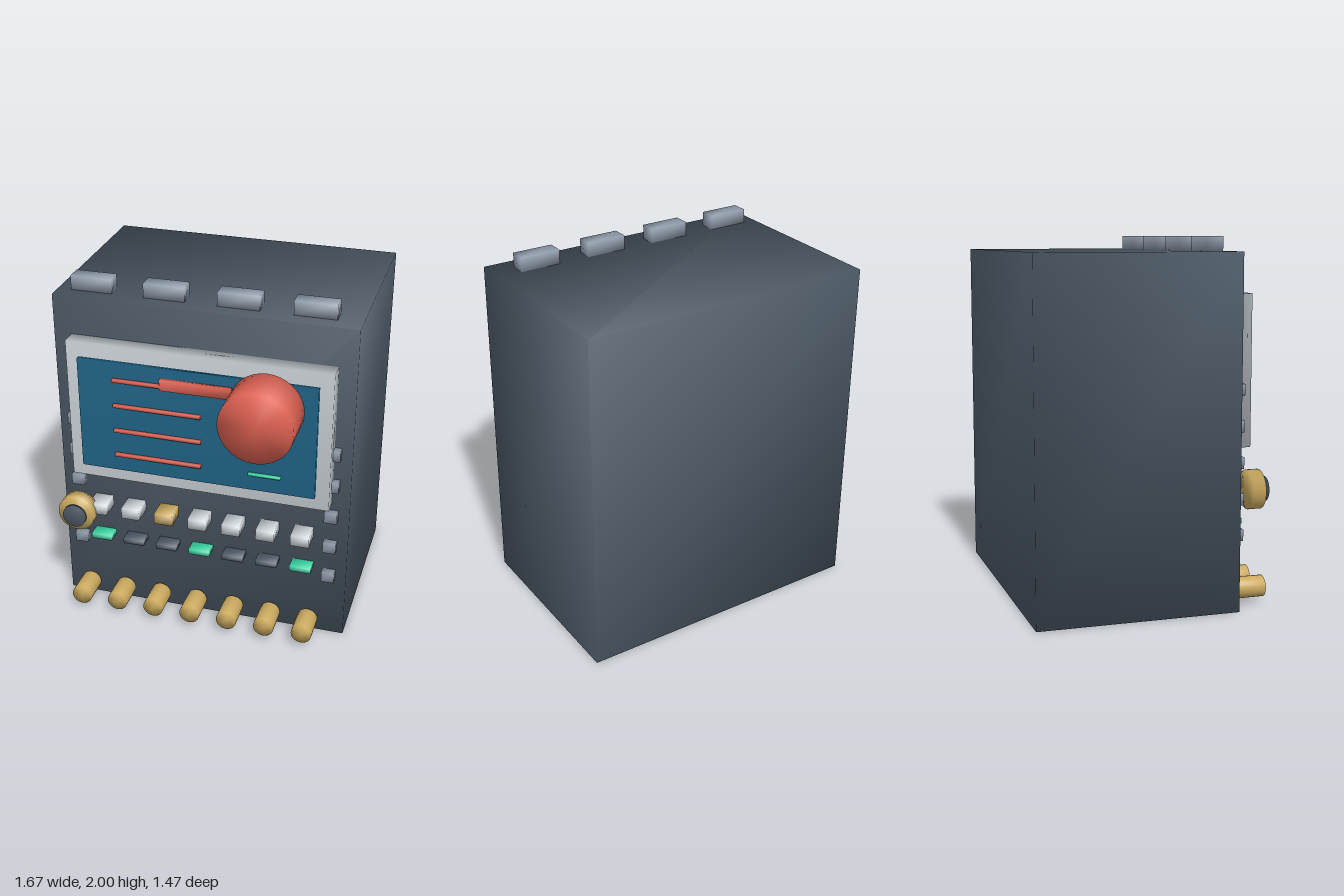
import * as THREE from 'three';
import { mergeVertices } from 'three/addons/utils/BufferGeometryUtils.js';

const paint = (name, color) => {
  const m = new THREE.MeshStandardMaterial({ color });
  m.name = name;
  return m;
};

// Weld the corners so that shading runs smoothly across every edge.
function weld(geometry) {
  geometry.deleteAttribute('normal');
  geometry.deleteAttribute('uv');
  const g = mergeVertices(geometry);
  g.computeVertexNormals();
  return g;
}

export function createModel() {
  const slate = paint('slate', 0x4d5a67);
  const silver = paint('silver', 0xc9d0d5);
  const steel = paint('steel', 0x8f9bab);
  const blue = paint('screen blue', 0x1f6386);
  const red = paint('coral red', 0xdc6152);
  const gold = paint('gold', 0xcbaa60);
  const green = paint('green', 0x38cf9f);
  const amber = paint('amber', 0xd9a441);

  const model = new THREE.Group();
  model.name = 'console';

  // Box given by its limits on each axis.
  function box(name, mat, [x0, x1], [y0, y1], [z0, z1]) {
    const mesh = new THREE.Mesh(weld(new THREE.BoxGeometry(x1 - x0, y1 - y0, z1 - z0)), mat);
    mesh.position.set((x0 + x1) / 2, (y0 + y1) / 2, (z0 + z1) / 2);
    mesh.name = name;
    model.add(mesh);
  }
  // Cylinder lying along z.
  function disc(name, mat, x, y, r, [z0, z1], sides = 36) {
    const g = new THREE.CylinderGeometry(r, r, z1 - z0, sides).rotateX(Math.PI / 2);
    const mesh = new THREE.Mesh(weld(g), mat);
    mesh.position.set(x, y, (z0 + z1) / 2);
    mesh.name = name;
    model.add(mesh);
  }
  const around = (c, size) => [c - size / 2, c + size / 2];

  // Cabinet, display frame and screen
  box('cabinet', slate, [-0.836, 0.836], [0, 1.92], [-0.737, 0.381]);
  box('displayFrame', silver, [-0.737, 0.735], [0.878, 1.7], [0.381, 0.473]);
  box('screen', blue, [-0.664, 0.66], [0.96, 1.617], [0.473, 0.502]);

  // Tabs on top
  for (let i = 0; i < 4; i++) {
    box('topTab', steel, around(-0.645 + i * 0.41, 0.23), [1.92, 2], [0.203, 0.295]);
  }

  // Screen graphics
  for (const y of [1.52, 1.367, 1.215, 1.064]) {
    box('readoutLine', red, [-0.463, 0.03], around(y, 0.017), [0.502, 0.523]);
  }
  box('amberLine', amber, [0.294, 0.474], around(1.215, 0.014), [0.502, 0.523]);
  box('greenLine', green, [0.294, 0.474], around(1.064, 0.012), [0.502, 0.523]);
  box('pointerBar', red, [-0.193, 0.2], [1.503, 1.565], [0.502, 0.528]);
  disc('bigButton', red, 0.387, 1.47, 0.202, [0.502, 0.737]);

  // Studs down both sides
  for (const side of [-1, 1]) {
    for (let i = 0; i < 5; i++) {
      box('sideStud', steel, around(side * 0.738, 0.072),
        around(0.405 + i * 0.197, 0.064), [0.381, 0.424]);
    }
  }

  // Row of keys with a row of indicator lights below
  for (let i = 0; i < 7; i++) {
    const x = -0.595 + i * 0.197;
    box('key', i === 2 ? gold : silver, around(x, 0.106), [0.635, 0.7], [0.381, 0.5]);
    box('indicator', i % 3 === 0 ? green : slate, around(x, 0.122), [0.439, 0.47], [0.381, 0.463]);
  }

  // Dial with its cap
  disc('dial', gold, -0.713, 0.642, 0.108, [0.463, 0.535]);
  disc('dialCap', slate, -0.713, 0.642, 0.068, [0.55, 0.57]);

  // Row of pegs along the bottom
  for (let i = 0; i < 7; i++) {
    disc('bottomPeg', gold, -0.696 + i * 0.221, 0.093, 0.059, [0.407, 0.57], 24);
  }
  return model;
}
